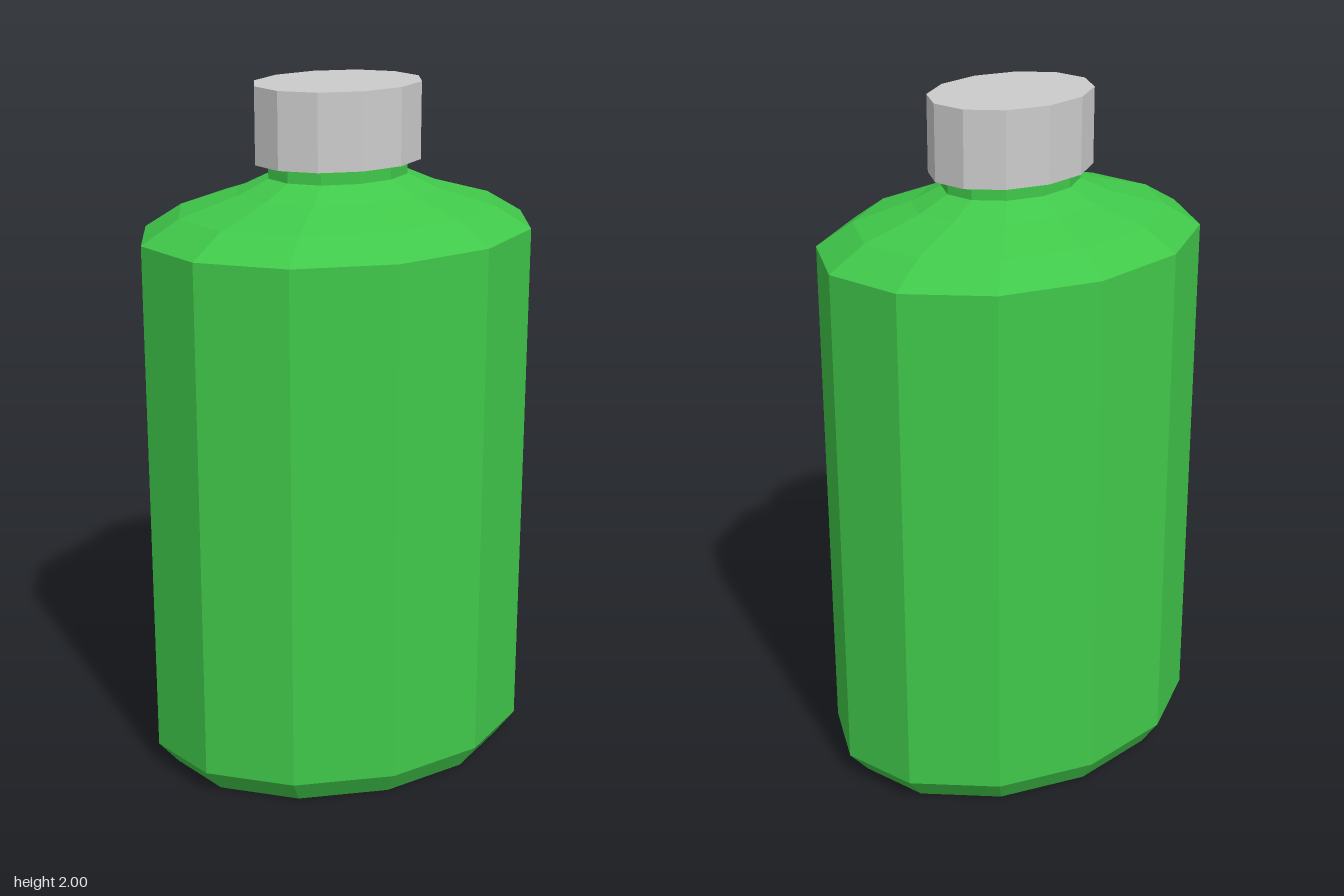
import * as THREE from 'three';

const SIDES = 12;
const DEPTH = 0.756; // oval section: depth relative to width

// Faceted oval solid from a [radius, height] profile, bottom to top
function ovalLathe(name, profile, color) {
  const points = profile.map(([r, y]) => new THREE.Vector2(r, y));
  const geometry = new THREE.LatheGeometry(points, SIDES);
  geometry.scale(1, 1, DEPTH);
  const material = new THREE.MeshStandardMaterial({ color, flatShading: true });
  const mesh = new THREE.Mesh(geometry, material);
  mesh.name = name;
  return mesh;
}

export function createModel() {
  const bottle = new THREE.Group();
  bottle.name = 'bottle';

  // Body: chamfered base, straight wall, sloping shoulder, neck and flange under the cap
  bottle.add(ovalLathe('body', [
    [0, 0], [0.515, 0], [0.573, 0.07], [0.573, 1.59], [0.465, 1.655],
    [0.295, 1.705], [0.205, 1.745], [0.205, 1.785], [0.243, 1.785],
  ], 0x40c84a));

  // Cap: closed on top, seated on the flange
  bottle.add(ovalLathe('cap', [[0.243, 1.785], [0.243, 2], [0, 2]], 0xcccccc));

  return bottle;
}
